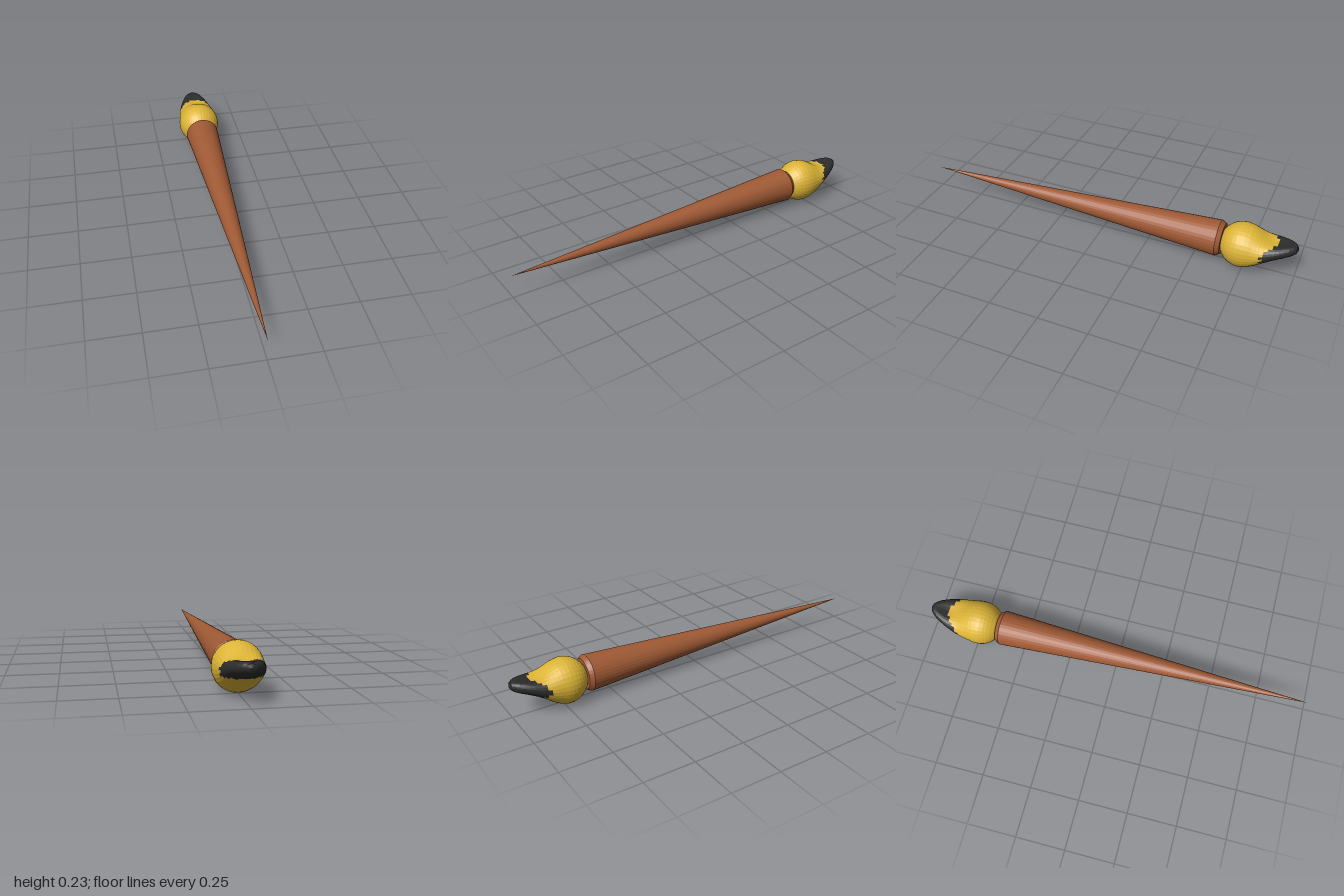
import * as THREE from 'three';

const AXIS_Y = 0.116;   // height of the brush axis
const SEGMENTS = 32;

const material = (name, color) => new THREE.MeshStandardMaterial({ name, color, flatShading: true });

// Bristle head cross-sections: z, half width, top y, bottom y, dish depth of the top
function headSections() {
  const rows = [];
  for (let i = 0; i <= 9; i++) {
    const a = (i / 9) * Math.PI / 2, r = 0.113 * Math.sin(a);
    rows.push([-0.735 + 0.113 * Math.cos(a), r, AXIS_Y + r, AXIS_Y - r, 0]);
  }
  rows.push(
    [-0.755, 0.112, 0.226, 0.006, 0],
    [-0.775, 0.109, 0.221, 0.014, 0],
    [-0.795, 0.106, 0.212, 0.025, 0],
    [-0.815, 0.103, 0.203, 0.039, 0.002],
    [-0.832, 0.100, 0.196, 0.052, 0.005],
    [-0.850, 0.096, 0.191, 0.066, 0.009],
    [-0.868, 0.091, 0.189, 0.078, 0.013],
    [-0.886, 0.085, 0.189, 0.090, 0.016],
    [-0.903, 0.079, 0.190, 0.099, 0.017],
    [-0.920, 0.072, 0.191, 0.107, 0.016],
    [-0.940, 0.062, 0.192, 0.116, 0.013],
    [-0.960, 0.051, 0.192, 0.125, 0.009],
    [-0.978, 0.037, 0.189, 0.134, 0.005],
    [-0.992, 0.022, 0.182, 0.145, 0.002],
    [-1.000, 0, 0.164, 0.164, 0]
  );
  return rows;
}

// Paint reaches further along the sides than along the top and bottom
function isPainted(z, angle, j) {
  const s = Math.abs(Math.sin(angle));
  const jag = 0.012 * Math.sin(j * 2.3);
  return z < -(0.835 + 0.075 * s * s + jag * (1 - s));
}

function buildHead(yellow, black) {
  const rows = headSections(), positions = [];
  const bristleFaces = [], paintFaces = [];
  for (const [z, w, top, bottom, dish] of rows) {
    const mid = (top + bottom) / 2, h = (top - bottom) / 2;
    for (let j = 0; j < SEGMENTS; j++) {
      const a = (j / SEGMENTS) * Math.PI * 2, s = Math.sin(a);
      positions.push(w * Math.cos(a), mid + h * s - (s > 0 ? dish * s ** 6 : 0), z);
    }
  }
  for (let i = 0; i < rows.length - 1; i++) {
    for (let j = 0; j < SEGMENTS; j++) {
      const k = (j + 1) % SEGMENTS;
      const a = i * SEGMENTS + j, b = i * SEGMENTS + k;
      const c = a + SEGMENTS, d = b + SEGMENTS;
      const z = (rows[i][0] + rows[i + 1][0]) / 2;
      const painted = isPainted(z, ((j + 0.5) / SEGMENTS) * Math.PI * 2, j);
      (painted ? paintFaces : bristleFaces).push(a, c, b, b, c, d);
    }
  }
  const part = (name, faces, mat) => {
    const geometry = new THREE.BufferGeometry();
    geometry.setAttribute('position', new THREE.Float32BufferAttribute(positions, 3));
    geometry.setIndex(faces);
    geometry.computeVertexNormals();
    const mesh = new THREE.Mesh(geometry, mat);
    mesh.name = name;
    return mesh;
  };
  const head = new THREE.Group();
  head.name = 'bristleHead';
  head.add(part('bristles', bristleFaces, yellow), part('paintedTip', paintFaces, black));
  return head;
}

function buildHandle(mat) {
  // Long cone with a chamfered, closed rear end
  const profile = [[0, -0.637], [0.076, -0.637], [0.09, -0.615], [0, 1]]
    .map(([r, y]) => new THREE.Vector2(r, y));
  const handle = new THREE.Mesh(new THREE.LatheGeometry(profile, SEGMENTS), mat);
  handle.name = 'handle';
  handle.rotation.x = Math.PI / 2;
  handle.position.y = AXIS_Y + 0.002;
  return handle;
}

export function createModel() {
  const wood = material('wood brown', 0xa05a35);
  const yellow = material('bristle yellow', 0xdcb437);
  const black = material('paint black', 0x2c2c2d);

  const brush = new THREE.Group();
  brush.name = 'paintbrush';
  brush.add(buildHandle(wood), buildHead(yellow, black));
  return brush;
}
